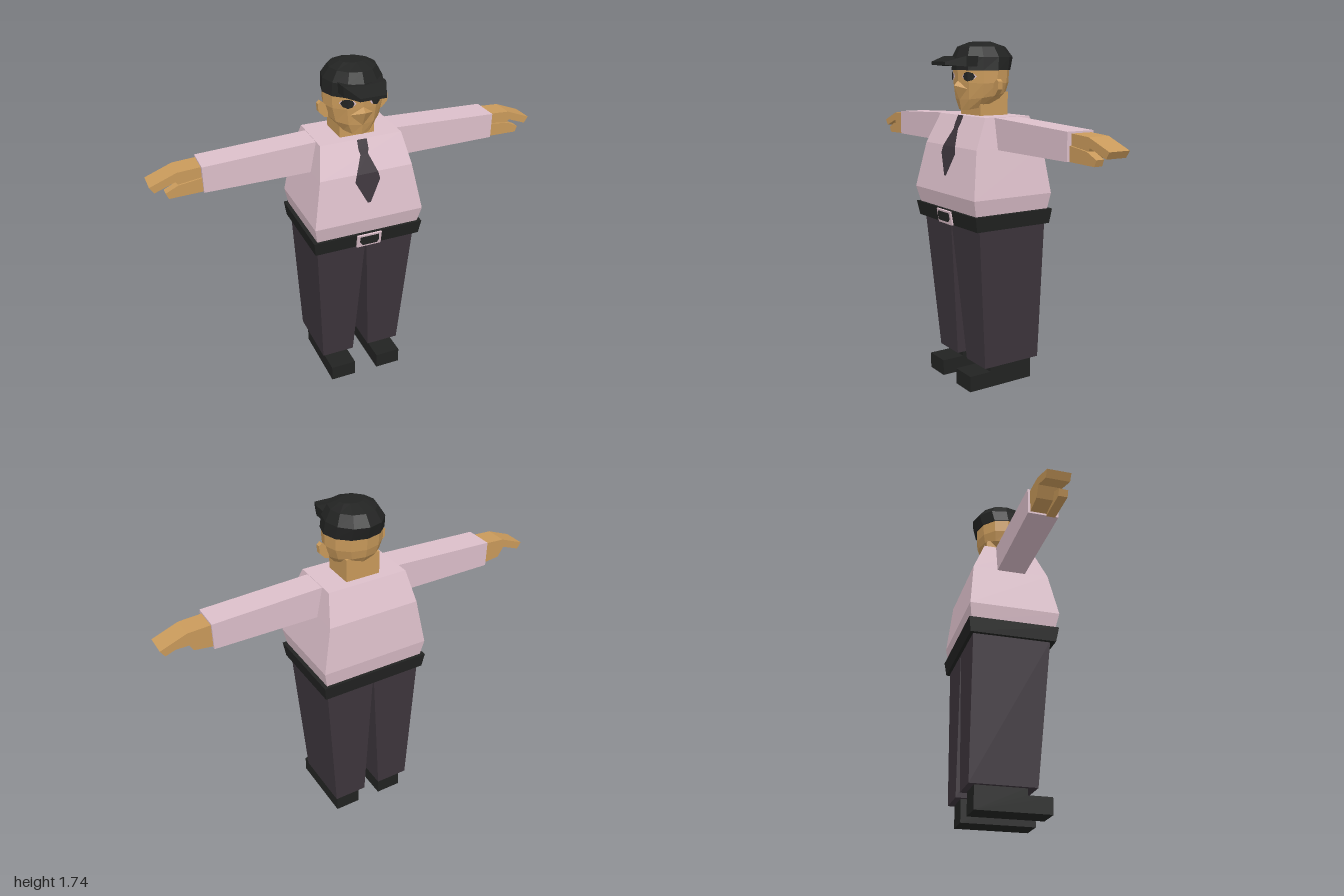
import * as THREE from 'three';
import { ConvexGeometry } from 'three/addons/geometries/ConvexGeometry.js';

const material = (name, color) => {
  const m = new THREE.MeshStandardMaterial({ color, flatShading: true });
  m.name = name;
  return m;
};

// Ring of points running from the front towards +x
const rect = (y, x0, x1, z0, z1) => [[x0, y, z1], [x1, y, z1], [x1, y, z0], [x0, y, z0]];
const oval = (y, rx, zFront, zBack, slope = 0, n = 12) =>
  Array.from({ length: n }, (_, i) => {
    const a = (i / n) * Math.PI * 2;
    const z = (zFront + zBack) / 2 + Math.cos(a) * (zFront - zBack) / 2;
    return [Math.sin(a) * rx, y - z * slope, z];
  });

// Flat-faced solid through a stack of rings, closed at both ends
function loft(rings) {
  const p = [];
  const n = rings[0].length;
  const centre = (r) => [0, 1, 2].map((k) => r.reduce((s, v) => s + v[k], 0) / n);
  const top = rings[rings.length - 1];
  for (let i = 0; i < n; i++) {
    const j = (i + 1) % n;
    for (let k = 0; k < rings.length - 1; k++) {
      const [a, b] = [rings[k], rings[k + 1]];
      p.push(...a[i], ...a[j], ...b[j], ...a[i], ...b[j], ...b[i]);
    }
    p.push(...centre(top), ...top[i], ...top[j]);
    p.push(...centre(rings[0]), ...rings[0][j], ...rings[0][i]);
  }
  const g = new THREE.BufferGeometry();
  g.setAttribute('position', new THREE.Float32BufferAttribute(p, 3));
  g.computeVertexNormals();
  return g;
}

// Side-to-side outline given depth from z0 to z1; s mirrors it
function slab(points, s, z0, z1) {
  const shape = new THREE.Shape(points.map(([x, y]) => new THREE.Vector2(x * s, y)));
  return new THREE.ExtrudeGeometry(shape, { depth: z1 - z0, bevelEnabled: false }).translate(0, 0, z0);
}

// Front surface of the face across its width
const faceZ = (x) => {
  const a = Math.abs(x);
  return a < 0.075 ? 0.135 - a * 0.25 : 0.116 - (a - 0.075) * 0.93;
};

function eyePlate(x, rx, ry, lift) {
  const g = new THREE.CircleGeometry(1, 8).scale(rx, ry, 1).translate(x, 1.577, 0);
  const p = g.attributes.position;
  for (let i = 0; i < p.count; i++) p.setZ(i, faceZ(p.getX(i)) + lift);
  g.computeVertexNormals();
  return g;
}

export function createModel() {
  const model = new THREE.Group();
  model.name = 'figure';
  const shirt = material('shirt pink', 0xdcbfca);
  const skin = material('skin', 0xc99a5b);
  const trousers = material('trouser charcoal', 0x3d353c);
  const black = material('black', 0x222322);
  const add = (name, geometry, mat) => {
    const mesh = new THREE.Mesh(geometry, mat);
    mesh.name = name;
    model.add(mesh);
  };

  // Torso and belt
  add('torso', loft([
    rect(0.91, -0.268, 0.268, -0.225, 0.2),
    rect(1.0, -0.285, 0.285, -0.237, 0.222),
    rect(1.235, -0.24, 0.24, -0.213, 0.18),
    rect(1.385, -0.21, 0.21, -0.15, 0.11),
  ]), shirt);
  add('belt', loft([
    rect(0.845, -0.28, 0.28, -0.232, 0.202),
    rect(0.92, -0.29, 0.29, -0.242, 0.216),
  ]), black);
  add('buckle', new THREE.BoxGeometry(0.13, 0.072, 0.009).rotateX(0.18).translate(0, 0.88, 0.214), shirt);
  add('buckleCentre', slab([
    [-0.05, 0.875], [-0.038, 0.86], [0.038, 0.86], [0.05, 0.875], [0.05, 0.905], [-0.05, 0.905],
  ], 1, 0.217, 0.225), black);

  // Tie follows the slope of the shirt front: y, half width, z
  const tieRows = [
    [1.386, 0.025, 0.111], [1.345, 0.026, 0.13], [1.32, 0.02, 0.141],
    [1.235, 0.056, 0.181], [1.2, 0.065, 0.187], [1.09, 0.008, 0.206],
  ];
  const tie = new THREE.PlaneGeometry(1, 1, 1, tieRows.length - 1);
  tieRows.forEach(([y, w, z], i) => {
    tie.attributes.position.setXYZ(i * 2, -w, y, z + 0.006);
    tie.attributes.position.setXYZ(i * 2 + 1, w, y, z + 0.006);
  });
  tie.computeVertexNormals();
  add('tie', tie, trousers);

  // Neck, head and nose
  add('neck', loft([rect(1.38, -0.09, 0.09, -0.105, 0.06), rect(1.5, -0.09, 0.09, -0.105, 0.06)]), skin);
  add('head', loft([
    oval(1.438, 0.085, 0.115, -0.1, 0.24),
    oval(1.483, 0.128, 0.125, -0.128, 0.16),
    oval(1.545, 0.147, 0.132, -0.138),
    oval(1.625, 0.149, 0.135, -0.143),
  ]), skin);
  add('nose', new ConvexGeometry([
    [-0.062, 1.515, 0.112], [0.062, 1.515, 0.112], [0, 1.558, 0.13],
    [0, 1.533, 0.157], [0, 1.455, 0.122], [0, 1.5, 0.1],
  ].map((v) => new THREE.Vector3(...v))), skin);

  // Cap crown and peak
  add('capCrown', loft([
    oval(1.607, 0.153, 0.142, -0.148),
    oval(1.67, 0.146, 0.142, -0.166),
    oval(1.72, 0.115, 0.118, -0.127),
    oval(1.744, 0.065, 0.05, -0.05),
  ]), black);
  const peak = [[-0.065, 0.245], [0.065, 0.245], [0.105, 0.15], [0.11, 0.05], [-0.11, 0.05], [-0.105, 0.15]];
  add('capPeak', loft([
    peak.map(([x, z]) => [x, z > 0.2 ? 1.633 : 1.626, z]),
    peak.map(([x, z]) => [x, z > 0.2 ? 1.648 : 1.675, z]),
  ]), black);

  for (const s of [1, -1]) {
    const side = s > 0 ? 'left' : 'right';

    // Eyes and ears
    add(side + 'EyeWhite', eyePlate(s * 0.07, 0.036, 0.018, 0.003), shirt);
    add(side + 'Eye', eyePlate(s * 0.073, 0.029, 0.023, 0.007), black);
    add(side + 'Ear', slab([
      [0.13, 1.48], [0.15, 1.485], [0.178, 1.515], [0.18, 1.553], [0.165, 1.565], [0.145, 1.548], [0.13, 1.545],
    ], s, -0.01, 0.015), skin);

    // Sleeve, hand and thumb
    add(side + 'Sleeve', slab([[0.19, 1.384], [0.19, 1.23], [0.76, 1.23], [0.76, 1.36]], s, -0.088, 0.057), shirt);
    add(side + 'Hand', slab([
      [0.75, 1.352], [0.75, 1.238], [0.85, 1.25], [0.88, 1.3], [0.98, 1.263], [1.0, 1.295], [0.87, 1.345],
    ], s, -0.077, 0.034), skin);
    add(side + 'Thumb', slab([
      [0.755, 1.3], [0.755, 1.23], [0.92, 1.226], [0.932, 1.256], [0.87, 1.285],
    ], s, 0.0, 0.043), skin);

    // Trouser leg
    const legRing = (y, inner, outer, zFront) =>
      rect(y, Math.min(s * inner, s * outer), Math.max(s * inner, s * outer), -0.215, zFront);
    add(side + 'TrouserLeg', loft([legRing(0.115, 0.045, 0.22, 0.115), legRing(0.85, 0.003, 0.262, 0.177)]), trousers);

    // Stepped shoe, drawn from the side
    const shoe = slab([
      [-0.185, 0], [0.192, 0], [0.192, 0.083], [0.07, 0.083], [0.07, 0.118], [-0.185, 0.118],
    ], 1, -0.0675, 0.0675).rotateY(-Math.PI / 2).translate(s * 0.1325, 0, 0);
    add(side + 'Shoe', shoe, black);
  }
  return model;
}
